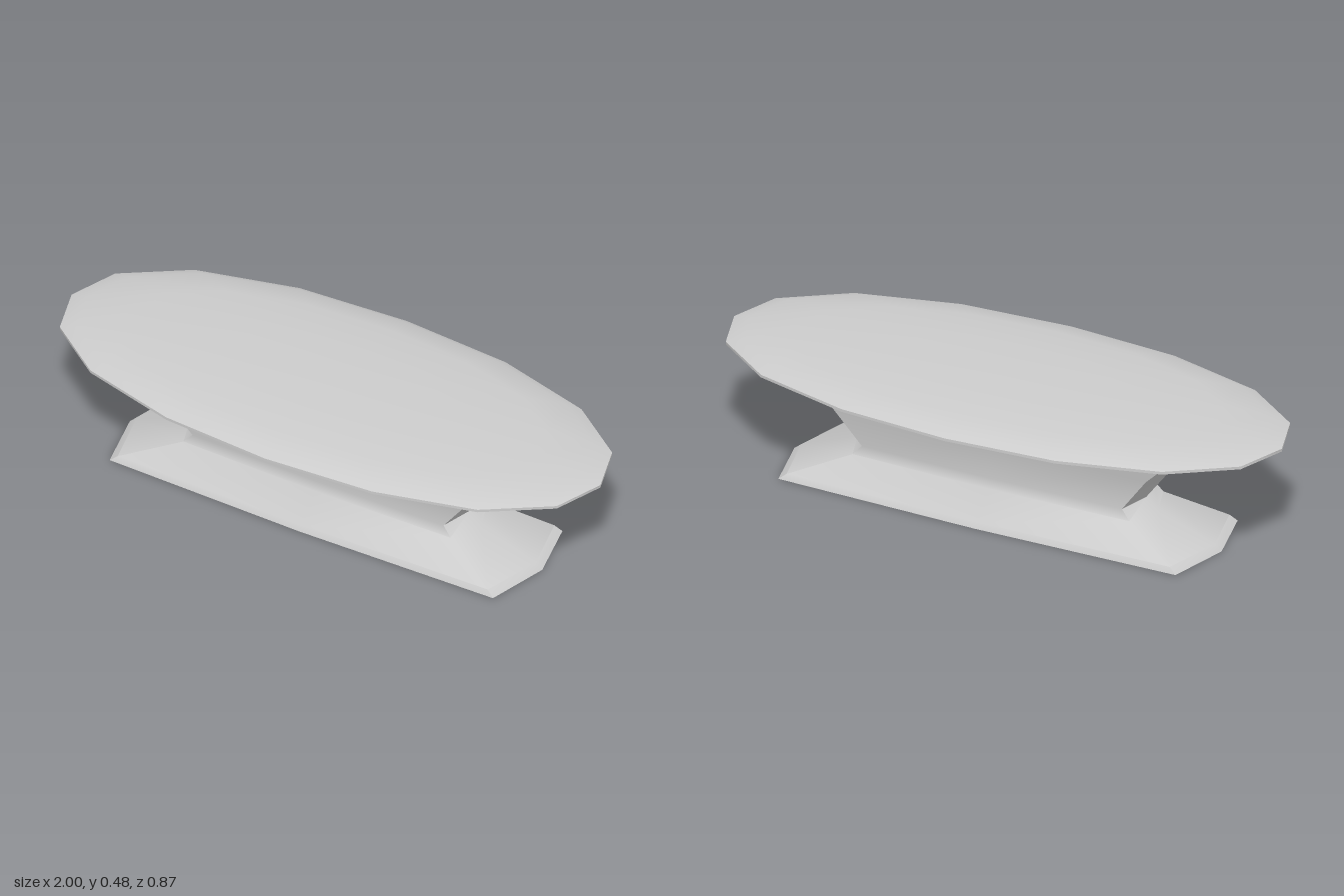
import * as THREE from 'three';
import { toCreasedNormals } from 'three/addons/utils/BufferGeometryUtils.js';

const SHEAR = -0.03; // slight skew of the whole plan
const CREASE = 0.75;

function skew(geometry) {
  const p = geometry.attributes.position;
  for (let i = 0; i < p.count; i++) p.setZ(i, p.getZ(i) + SHEAR * p.getX(i));
  return geometry;
}

// Oval top: 16-sided lens, a little fuller on the diagonals, squashed in z
function tabletopGeometry() {
  const profile = [
    [0, 0.381], [0.42, 0.384], [0.76, 0.393], [0.94, 0.41], [1, 0.425],
    [1, 0.435], [0.94, 0.45], [0.76, 0.466], [0.4, 0.476], [0, 0.479],
  ].map(([r, y]) => new THREE.Vector2(r, y));
  const geometry = new THREE.LatheGeometry(profile, 16);
  const p = geometry.attributes.position;
  for (let i = 0; i < p.count; i++) {
    const x = p.getX(i), z = p.getZ(i);
    const fuller = 1 + 0.035 * Math.sin(2 * Math.atan2(z, x)) ** 2;
    p.setX(i, x * fuller);
    p.setZ(i, z * fuller * 0.434);
  }
  return toCreasedNormals(skew(geometry), CREASE);
}

// Pedestal: eight-cornered rings, open underneath
function pedestalGeometry() {
  // [y, x of end middle, x of corner, z of corner, z of side middle]
  const rings = [
    [0, 0.78, 0.725, 0.212, 0.226],
    [0.02, 0.755, 0.70, 0.203, 0.216],
    [0.1, 0.55, 0.505, 0.116, 0.126],
    [0.135, 0.505, 0.475, 0.11, 0.118],
    [0.27, 0.605, 0.575, 0.134, 0.144],
    [0.4, 0.745, 0.705, 0.157, 0.166],
  ];
  const positions = [];
  const indices = [];
  for (const [y, end, cx, cz, side] of rings) {
    const loop = [[end, 0], [cx, -cz], [0, -side], [-cx, -cz], [-end, 0], [-cx, cz], [0, side], [cx, cz]];
    for (const [x, z] of loop) positions.push(x, y, z);
  }
  for (let j = 0; j < rings.length - 1; j++) {
    for (let i = 0; i < 8; i++) {
      const a = j * 8 + i;
      const b = j * 8 + (i + 1) % 8;
      indices.push(a, b, b + 8, a, b + 8, a + 8);
    }
  }
  const geometry = new THREE.BufferGeometry();
  geometry.setAttribute('position', new THREE.Float32BufferAttribute(positions, 3));
  geometry.setIndex(indices);
  return toCreasedNormals(skew(geometry), CREASE);
}

export function createModel() {
  // Double-sided so the hollow of the open pedestal shows from below
  const material = new THREE.MeshStandardMaterial({ color: 0xcccccc, side: THREE.DoubleSide });
  const group = new THREE.Group();
  group.name = 'ovalTable';
  const parts = { tabletop: tabletopGeometry(), pedestal: pedestalGeometry() };
  for (const [name, geometry] of Object.entries(parts)) {
    const mesh = new THREE.Mesh(geometry, material);
    mesh.name = name;
    group.add(mesh);
  }
  return group;
}
